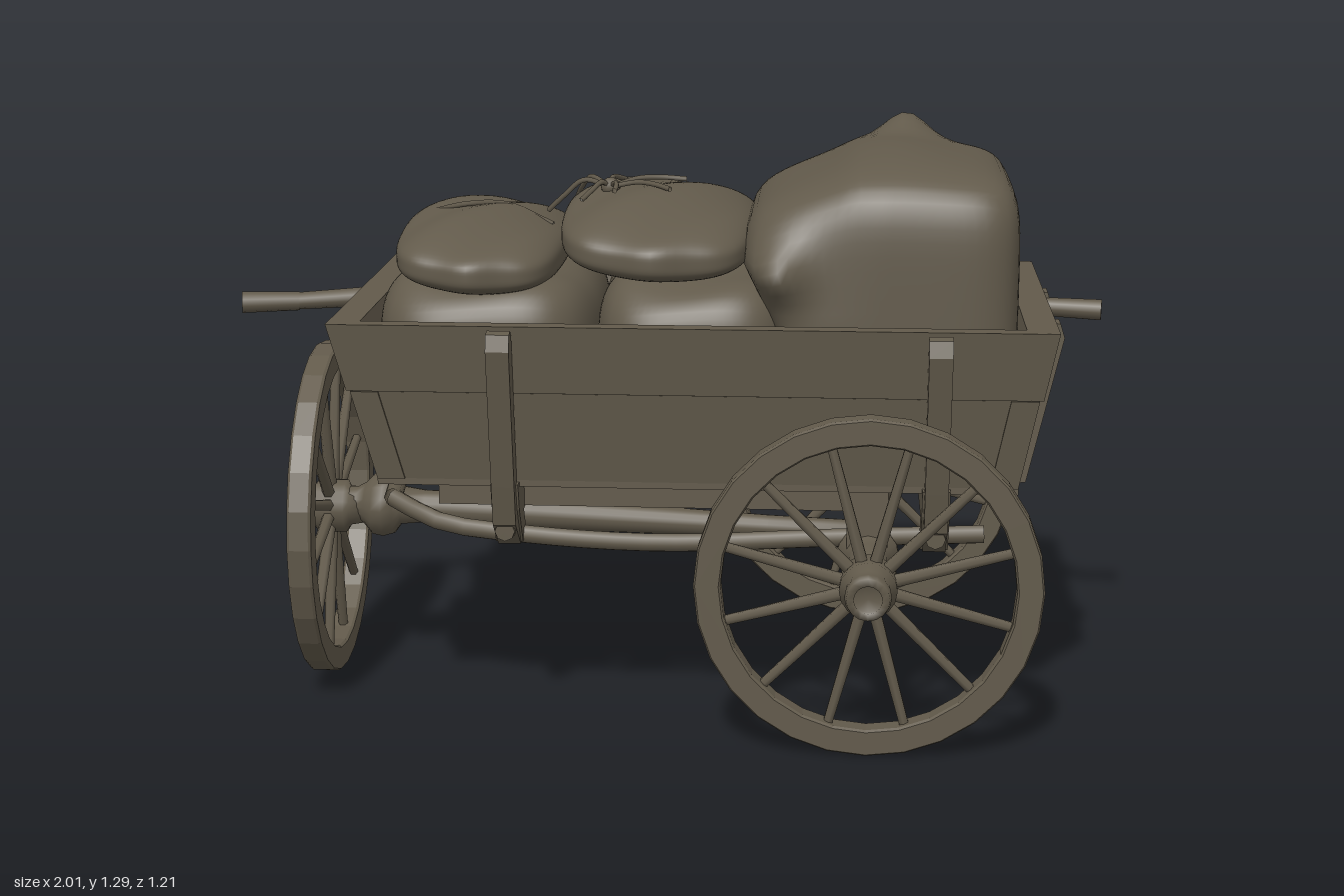
import * as THREE from 'three';
import { mergeVertices } from 'three/addons/utils/BufferGeometryUtils.js';

const umber = new THREE.MeshStandardMaterial({ color: 0x625a4b, side: THREE.DoubleSide });
umber.name = 'umber';

export function createModel() {
  const root = new THREE.Group();
  root.name = 'handcart';
  const V = (x, y, z) => new THREE.Vector3(x, y, z);
  const add = (geo, name, parent = root) => {
    const m = new THREE.Mesh(geo, umber);
    m.name = name;
    parent.add(m);
    return m;
  };

  // Board with separate bottom and top rectangles [x0, x1, z0, z1]
  const board = (name, y0, y1, bot, top) => {
    const g = new THREE.BoxGeometry(1, 1, 1), p = g.attributes.position;
    for (let i = 0; i < p.count; i++) {
      const r = p.getY(i) < 0 ? bot : top;
      p.setXYZ(i, p.getX(i) < 0 ? r[0] : r[1], p.getY(i) < 0 ? y0 : y1, p.getZ(i) < 0 ? r[2] : r[3]);
    }
    g.computeVertexNormals();
    return add(g, name);
  };
  const block = (name, x0, x1, y0, y1, z0, z1) => board(name, y0, y1, [x0, x1, z0, z1], [x0, x1, z0, z1]);

  // Flat outline extruded evenly about its own plane
  const slab = (pts, depth) => new THREE.ExtrudeGeometry(
    new THREE.Shape(pts.map(([x, y]) => new THREE.Vector2(x, y))), { depth, bevelEnabled: false }
  ).translate(0, 0, -depth / 2);

  // Straight tapered rod between two points
  const rod = (name, a, b, ra, rb = ra, sides = 10, parent = root) => {
    const m = add(new THREE.CylinderGeometry(rb, ra, a.distanceTo(b), sides), name, parent);
    m.position.copy(a).lerp(b, 0.5);
    m.quaternion.setFromUnitVectors(V(0, 1, 0), b.clone().sub(a).normalize());
  };
  const tube = (name, pts, r, sides = 8) =>
    add(new THREE.TubeGeometry(new THREE.CatmullRomCurve3(pts), 20, r, sides), name);
  const turned = (name, prof, parent) =>
    add(new THREE.LatheGeometry(prof.map(([r, y]) => new THREE.Vector2(r, y)), 16), name, parent);

  // Box outline as a function of height
  const rise = y => (y - 0.57) / 0.34;
  const zw = y => 0.388 + 0.05 * rise(y);
  const xl = y => -0.60 - 0.085 * rise(y);
  const xr = y => 0.785 + 0.065 * rise(y);

  // Wall planks: two courses on every side, the upper one standing slightly proud
  for (const [y0, y1, out] of [[0.565, 0.764, 0], [0.766, 0.915, 0.008]]) {
    for (const s of [-1, 1]) {
      const rect = y => {
        const a = s * (zw(y) + out), b = s * (zw(y) - 0.035);
        return [xl(y) + 0.02, xr(y) - 0.02, Math.min(a, b), Math.max(a, b)];
      };
      board('sidePlank', y0, y1, rect(y0), rect(y1));
    }
    const end = (f, s) => y => {
      const a = f(y) + s * out, b = f(y) - s * 0.06;
      return [Math.min(a, b), Math.max(a, b), -zw(y) - 0.006, zw(y) + 0.006];
    };
    for (const r of [end(xl, -1), end(xr, 1)]) board('endPlank', y0, y1, r(y0), r(y1));
  }

  // Floor and under-bed
  block('floor', -0.6, 0.785, 0.55, 0.585, -0.385, 0.385);
  for (let i = 0; i < 4; i++) block('underPlank', -0.48, 0.47, 0.485, 0.552, -0.3 + i * 0.152, -0.156 + i * 0.152);

  // Notched bolsters across the frame, with side braces and bolts
  const bolster = [[-0.41, 0.56], [-0.39, 0.5], [-0.33, 0.41], [-0.27, 0.42], [-0.31, 0.48],
    [0.31, 0.48], [0.27, 0.42], [0.33, 0.41], [0.39, 0.5], [0.41, 0.56]];
  const sideBrace = [[0.45, 0.895], [0.465, 0.91], [0.487, 0.905], [0.498, 0.87], [0.435, 0.56], [0.415, 0.47],
    [0.33, 0.405], [0.29, 0.415], [0.3, 0.44], [0.375, 0.49], [0.388, 0.56]];
  for (const x of [-0.32, 0.61]) {
    const b = add(slab(bolster, 0.06), 'bolster');
    b.rotation.y = -Math.PI / 2;
    b.position.x = x;
    for (const s of [-1, 1]) {
      const m = add(slab(sideBrace.map(([z, y]) => [z * s, y]), 0.05), 'sideBrace');
      m.rotation.y = -Math.PI / 2;
      m.position.x = x;
      rod('braceBolt', V(x, 0.455, s * 0.34), V(x, 0.455, s * 0.41), 0.026, 0.022, 8);
    }
  }

  // Upright braces on both ends
  for (const z of [-0.187, 0.187]) for (const [f, s] of [[xl, -1], [xr, 1]]) {
    const pts = [[f(0.53), 0.53], [f(0.53) + s * 0.035, 0.535], [f(0.87) + s * 0.045, 0.86],
      [f(0.87) + s * 0.035, 0.892], [f(0.89), 0.892]];
    add(slab(pts, 0.055), 'endBrace').position.z = z;
  }

  // Handles sticking out of both ends
  rod('rearHandle', V(0.8, 0.86, -0.17), V(1.0, 0.855, -0.145), 0.02, 0.024);
  rod('frontHandle', V(-0.62, 0.865, -0.18), V(-0.88, 0.855, -0.125), 0.025, 0.02);
  rod('frontHandleGrip', V(-0.87, 0.855, -0.127), V(-1.0, 0.855, -0.1), 0.022, 0.025);

  // Spoked wheel lying across local z, hub outwards along +z
  const wheel = (name, R) => {
    const g = new THREE.Group();
    g.name = name;
    const ring = new THREE.Shape().absarc(0, 0, R, 0, Math.PI * 2);
    ring.holes.push(new THREE.Path().absarc(0, 0, R - 0.05, 0, Math.PI * 2, true));
    add(new THREE.ExtrudeGeometry(ring, { depth: 0.042, curveSegments: 14, bevelThickness: 0.006, bevelSize: 0.004,
      bevelSegments: 1 }).translate(0, 0, -0.021), 'rim', g);
    for (let i = 0; i < 12; i++) {
      const a = (i + 0.5) * Math.PI / 6, c = Math.cos(a), s = Math.sin(a);
      rod('spoke', V(c * 0.03, s * 0.03, 0), V(c * (R - 0.04), s * (R - 0.04), 0), 0.015, 0.011, 6, g);
    }
    turned('hub', [[0, -0.075], [0.04, -0.075], [0.045, -0.045], [0.062, -0.035], [0.062, 0.03], [0.048, 0.04],
      [0.05, 0.075], [0.046, 0.094], [0.03, 0.096], [0.03, 0.085], [0, 0.085]], g).rotation.x = Math.PI / 2;
    root.add(g);
    return g;
  };
  for (const s of [-1, 1]) {
    const w = wheel('rearWheel', 0.367);
    w.position.set(0.467, 0.376, s * 0.507);
    w.rotation.y = (s > 0 ? 0 : Math.PI) - 0.012 * s;
  }
  const fw = wheel('frontWheel', 0.382);
  fw.position.set(-0.78, 0.394, 0);
  fw.rotation.y = -Math.PI / 2;

  // Rear axle with turned collars and mounting blocks
  const axle = turned('rearAxle', [[0, -0.5], [0.04, -0.5], [0.045, -0.36], [0.05, -0.32], [0.068, -0.305],
    [0.068, -0.265], [0.045, -0.25], [0.036, -0.22], [0.032, 0], [0.036, 0.22], [0.045, 0.25], [0.068, 0.265],
    [0.068, 0.305], [0.05, 0.32], [0.045, 0.36], [0.04, 0.5], [0, 0.5]]);
  axle.rotation.x = Math.PI / 2;
  axle.position.set(0.467, 0.385, 0);
  for (const z of [-0.29, 0.29]) block('axleBlock', 0.42, 0.51, 0.4, 0.56, z - 0.03, z + 0.03);

  // Central spine from the front wheel to the rear axle
  const spine = turned('spine', [[0, -0.72], [0.036, -0.72], [0.038, -0.66], [0.05, -0.64], [0.072, -0.62],
    [0.076, -0.595], [0.068, -0.57], [0.045, -0.555], [0.038, -0.5], [0.042, -0.4], [0.038, -0.25], [0.027, 0.3],
    [0.027, 0.5], [0, 0.5]]);
  spine.rotation.z = -Math.PI / 2 - 0.042;
  spine.position.set(-0.06, 0.375, 0);

  // Curved poles along both sides of the frame
  for (const s of [-1, 1]) {
    tube('sidePole', [V(-0.6, 0.47, s * 0.2), V(-0.48, 0.435, s * 0.27), V(-0.3, 0.42, s * 0.3), V(0, 0.405, s * 0.3),
      V(0.4, 0.42, s * 0.285), V(0.72, 0.43, s * 0.27)], 0.021);
  }
  tube('crossPole', [V(-0.6, 0.47, -0.2), V(-0.615, 0.47, 0), V(-0.6, 0.47, 0.2)], 0.021);

  // Sack: rounded block, k sets squareness, shape() moves each point given its unit position
  const sack = (name, c, h, k, shape) => {
    let g = new THREE.BoxGeometry(2, 2, 2, 24, 20, 28);
    g.deleteAttribute('uv');
    g.deleteAttribute('normal');
    g = mergeVertices(g);
    const p = g.attributes.position, v = V();
    for (let i = 0; i < p.count; i++) {
      v.fromBufferAttribute(p, i);
      const n = Math.pow(Math.abs(v.x) ** k + Math.abs(v.y) ** k + Math.abs(v.z) ** k, 1 / k);
      const u = v.clone().divideScalar(n);
      v.copy(u).multiply(h).add(c);
      shape(v, u);
      p.setXYZ(i, v.x, v.y, v.z);
    }
    g.computeVertexNormals();
    add(g, name);
  };
  const bump = (d, w) => Math.exp(-d / (w * w));

  // Large upright sack with a raised crest, sloping front and pinched ears
  sack('largeSack', V(0.485, 0.905, 0), V(0.3, 0.325, 0.372), 7, (v, u) => {
    const up = Math.max(0, u.y), fore = Math.max(0, -u.x);
    v.x += 0.12 * Math.max(0, 0.5 - u.y) * fore;
    v.y -= 0.1 * up * Math.max(0, fore - 0.2);
    v.y += 0.06 * up * bump((u.x - 0.2) ** 2 + (u.z + 0.66) ** 2, 0.22);
    v.y += 0.032 * up * bump((u.x - 0.1) ** 2 + (u.z / 1.8) ** 2, 0.45);
    v.y -= 0.02 * up * Math.abs(u.z) ** 3;
    const ear = bump((u.x + 0.8) ** 2 + (u.y - 0.45) ** 2 + (Math.abs(u.z) - 0.95) ** 2, 0.22);
    v.z += Math.sign(u.z) * 0.065 * ear;
    v.z -= 0.04 * u.z * up * fore;
  });

  // Lower sacks lying across the box
  const soft = (v, u) => { v.y += 0.01 * Math.sin(7 * u.z + 3 * u.x) * u.y; };
  sack('lowerMiddleSack', V(0.08, 0.79, 0), V(0.22, 0.215, 0.375), 3.8, soft);
  sack('lowerFrontSack', V(-0.38, 0.79, 0), V(0.245, 0.215, 0.37), 3.8, soft);

  // Upper sacks: pillows with thinned edges, drooping ends and pinched corners
  const pillow = (y, tilt, dip) => (v, u) => {
    v.y = y + (v.y - y) * (1 - 0.35 * u.x * u.x - 0.25 * u.z * u.z);
    v.y += tilt * u.x - dip * u.z * u.z;
    v.y += 0.006 * Math.sin(6 * u.z + 5 * u.x) * Math.max(0, u.y);
    v.z += Math.sign(u.z) * (0.03 * bump(u.x * u.x, 0.3) * Math.abs(u.z) ** 4 + 0.04 * Math.abs(u.x * u.z) ** 3);
  };
  sack('upperMiddleSack', V(-0.005, 1.075, 0), V(0.215, 0.085, 0.365), 3.6, pillow(1.075, -0.01, 0.035));
  sack('upperFrontSack', V(-0.4, 1.03, 0), V(0.185, 0.08, 0.355), 3.6, pillow(1.03, -0.01, 0.025));

  // Cord tie: a knot with loose strands
  const knot = V(-0.12, 1.155, 0.03);
  add(new THREE.SphereGeometry(0.022, 10, 8), 'cordKnot').position.copy(knot);
  for (const [a, len, dy] of [[0.3, 0.17, 0.01], [1.1, 0.1, 0.005], [2.0, 0.09, -0.02], [3.1, 0.15, -0.06],
    [3.9, 0.19, -0.05], [4.6, 0.13, 0], [5.6, 0.18, 0.01]]) {
    const at = (t, y) => V(knot.x + Math.cos(a + t * 0.3) * len * t, knot.y + y, knot.z + Math.sin(a + t * 0.3) * len * t);
    tube('cordStrand', [at(0, 0), at(0.4, 0.015), at(0.7, 0.01 + dy / 2), at(1, dy)], 0.006, 5);
  }
  tube('frontSackCord', [V(-0.55, 1.085, 0.0), V(-0.45, 1.112, 0.02), V(-0.36, 1.11, 0), V(-0.25, 1.07, 0.03)], 0.006, 5);

  return root;
}
